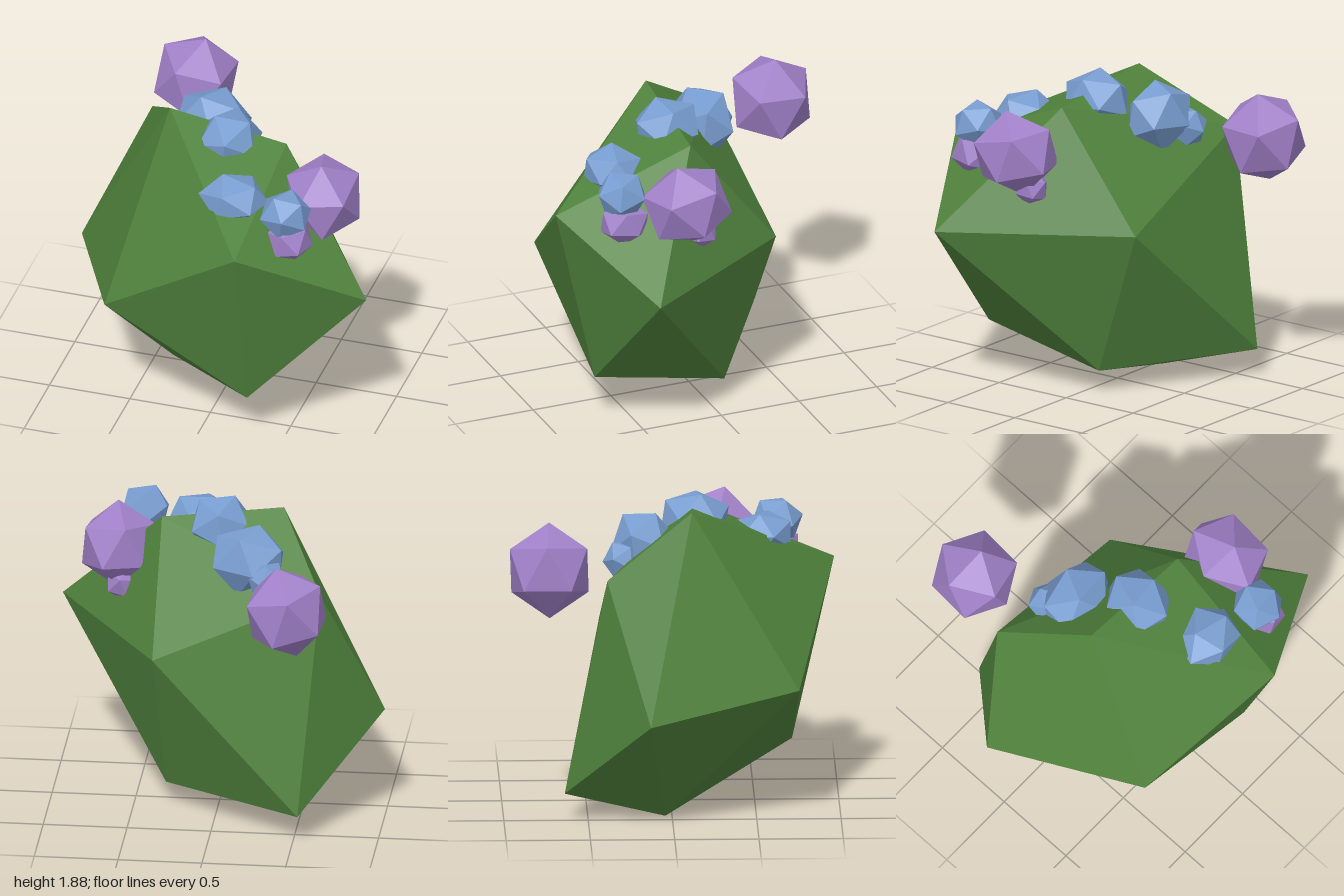
import * as THREE from 'three';

const green = new THREE.MeshStandardMaterial({ color: 0x4f813c, flatShading: true });
green.name = 'mossGreen';
const purple = new THREE.MeshStandardMaterial({ color: 0xa080c8, flatShading: true });
purple.name = 'crystalPurple';
const blue = new THREE.MeshStandardMaterial({ color: 0x789dd0, flatShading: true });
blue.name = 'crystalBlue';

const V = (a) => new THREE.Vector3(...a);

// Orthonormal frame from an apex direction and a hint for a neighbouring corner
function frame(apex, hint) {
  const y = apex.clone().normalize();
  const x = hint.clone().addScaledVector(y, -hint.dot(y)).normalize();
  return new THREE.Matrix4().makeBasis(x, y, x.clone().cross(y));
}

// Twenty-sided gem with one corner along apex and a neighbouring corner towards hint
function gem(name, material, center, radii, apex, hint) {
  const t = (1 + Math.sqrt(5)) / 2;
  const turn = frame(V(apex), V(hint))
    .multiply(frame(V([-1, t, 0]), V([1, t, 0])).transpose());
  const geometry = new THREE.IcosahedronGeometry(1, 0);
  geometry.applyMatrix4(turn);
  geometry.scale(...radii);
  geometry.computeVertexNormals();
  const mesh = new THREE.Mesh(geometry, material);
  mesh.name = name;
  mesh.position.set(...center);
  return mesh;
}

// Irregular boulder: icosahedron faces over twelve displaced corners
function boulder() {
  const corners = [
    [-0.37, 1.84, 0.12], [0.36, 1.74, 0.14], [-0.4, 0, -0.04], [0.31, 0.14, -0.1],
    [0.3, 0.3, 0.73], [0.3, 1.41, 0.98], [-0.53, 0.17, -0.64], [-0.64, 1.49, -0.39],
    [0.36, 1.04, -0.41], [1, 1.04, 0.6], [-1, 0.68, -0.14], [-0.58, 0.8, 0.75],
  ];
  const faces = [
    0, 11, 5, 0, 5, 1, 0, 1, 7, 0, 7, 10, 0, 10, 11,
    1, 5, 9, 5, 11, 4, 11, 10, 2, 10, 7, 6, 7, 1, 8,
    3, 9, 4, 3, 4, 2, 3, 2, 6, 3, 6, 8, 3, 8, 9,
    4, 9, 5, 2, 4, 11, 6, 2, 10, 8, 6, 7, 9, 8, 1,
  ];
  const indexed = new THREE.BufferGeometry();
  indexed.setAttribute('position', new THREE.Float32BufferAttribute(corners.flat(), 3));
  indexed.setIndex(faces);
  const geometry = indexed.toNonIndexed();
  geometry.computeVertexNormals();
  const mesh = new THREE.Mesh(geometry, green);
  mesh.name = 'boulder';
  return mesh;
}

export function createModel() {
  const model = new THREE.Group();
  model.name = 'crystalBoulder';
  model.add(boulder());

  // Purple crystals: name, centre, radii, apex, neighbour hint
  const purples = [
    ['largePurpleCrystalBack', [-0.475, 1.52, -0.73], [0.265, 0.285, 0.27], [0.065, 0.28, 0], [0.24, 0.06, -0.136]],
    ['largePurpleCrystalSide', [0.63, 1.5, 0.275], [0.25, 0.262, 0.28], [0.01, 0.25, 0.06], [0.23, 0.08, -0.14]],
    ['smallPurpleCrystalFront', [0.54, 1.41, 0.64], [0.14, 0.14, 0.16], [0.03, -0.13, 0.02], [0.1, -0.05, 0.12]],
    ['smallPurpleCrystalSide', [0.6, 1.3, 0.18], [0.11, 0.115, 0.11], [0.02, -0.1, 0.01], [0.1, -0.02, 0.05]],
  ];
  for (const [name, ...rest] of purples) model.add(gem(name, purple, ...rest));

  // Blue crystals running over the top of the boulder
  const blues = [
    ['blueCrystalBack', [-0.19, 1.61, -0.165], [0.25, 0.22, 0.2], [-0.05, 0.2, 0.08], [0.2, 0.05, 0.02]],
    ['blueCrystalBackSmall', [-0.31, 1.54, -0.29], [0.125, 0.125, 0.12], [0, 0.1, -0.06], [0.1, 0.03, -0.05]],
    ['blueCrystalTop', [0.01, 1.71, 0.145], [0.2, 0.185, 0.225], [0.13, 0.16, 0.01], [0, 0.05, 0.2]],
    ['blueCrystalFront', [0.165, 1.58, 0.56], [0.215, 0.145, 0.19], [-0.05, 0.13, -0.02], [0.1, 0.05, -0.19]],
    ['blueCrystalFrontSide', [0.513, 1.58, 0.645], [0.16, 0.15, 0.16], [0.02, 0.03, 0.15], [-0.06, 0.14, 0.05]],
  ];
  for (const [name, ...rest] of blues) model.add(gem(name, blue, ...rest));

  return model;
}
